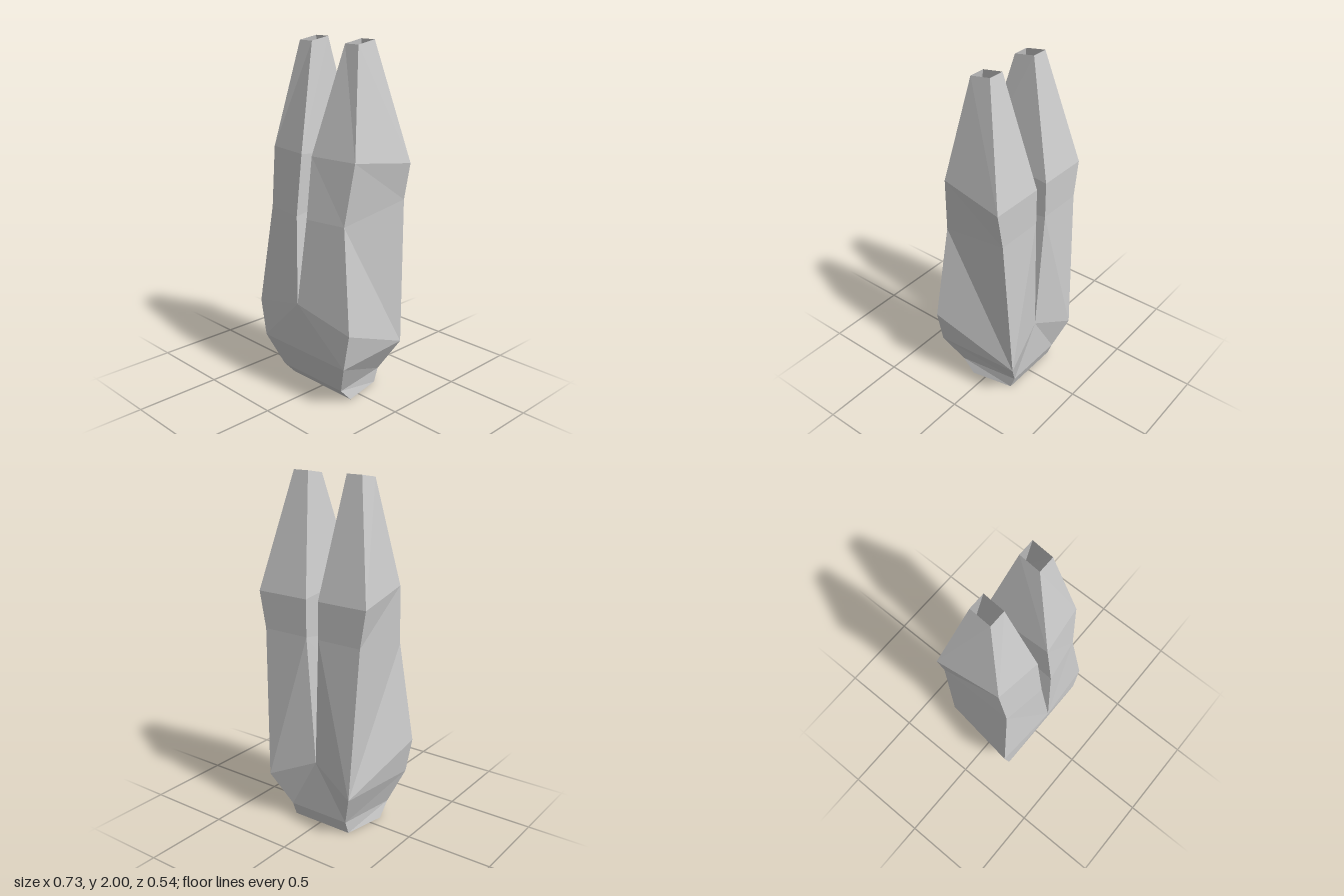
import * as THREE from 'three';

const material = new THREE.MeshStandardMaterial({
  color: 0xcccccc, flatShading: true, side: THREE.DoubleSide,
});

// Faceted mesh from a list of triangles, each with three [x, y, z] corners
function facets(name, tris) {
  const geometry = new THREE.BufferGeometry();
  geometry.setAttribute('position', new THREE.Float32BufferAttribute(tris.flat(2), 3));
  geometry.computeVertexNormals();
  const mesh = new THREE.Mesh(geometry, material);
  mesh.name = name;
  return mesh;
}

// Two triangles for a quad, split along a-c or b-d
const quad = (a, b, c, d, splitAC = false) =>
  splitAC ? [[a, b, c], [a, c, d]] : [[a, b, d], [b, c, d]];

// Points of the fork between the legs
const forkFront = [0, 0.57, 0.267];
const forkBack = [0, 0.4, -0.21];

// The two halves differ slightly in width
const sides = [
  { name: 'left', s: 1, top: [0.135, 0.23], kneeX: [0.325, 0.365], thighX: [0.285, 0.325],
    hipBackX: 0.29, footX: [0.23, 0.18] },
  { name: 'right', s: -1, top: [0.115, 0.21], kneeX: [0.305, 0.345], thighX: [0.29, 0.31],
    hipBackX: 0.27, footX: [0.25, 0.2] },
];

// Corner points of the hip block on one side
function hipPoints({ s, hipBackX, footX }) {
  return {
    f48: [s * 0.365, 0.48, 0.23],
    f27: [s * 0.325, 0.27, 0.23],
    b27: [s * hipBackX, 0.27, -0.27],
    f08: [s * footX[0], 0.08, 0.155],
    b08: [s * footX[1], 0.08, -0.2],
    f0: [s * footX[0], 0, 0.08],
    b0: [s * footX[1], 0, -0.17],
  };
}

// Reverse the corner order on the mirrored side
const oriented = (tris, s) => (s > 0 ? tris : tris.map(([a, b, c]) => [a, c, b]));

// Hollow tapering leg: rings run front inner, front outer, back outer, back inner
function leg(side) {
  const { s, top, kneeX, thighX } = side;
  const p = hipPoints(side);
  const rings = [
    [forkFront, p.f48, p.b27, forkBack],
    [[s * 0.04, 1.06, 0.23], [s * thighX[0], 1.06, 0.19],
      [s * thighX[1], 1.14, -0.23], [s * 0.04, 1.14, -0.23]],
    [[s * 0.04, 1.4, 0.19], [s * kneeX[0], 1.4, 0.153],
      [s * kneeX[1], 1.35, -0.23], [s * 0.04, 1.35, -0.23]],
    [[s * top[0], 1.98, 0.04], [s * top[1], 1.98, 0.04],
      [s * top[1], 2, -0.08], [s * top[0], 2, -0.08]],
  ];
  const tris = [];
  for (let r = 0; r < rings.length - 1; r++) {
    for (let i = 0; i < 4; i++) {
      const j = (i + 1) % 4;
      const splitAC = r === 0 && i % 2 === 0;
      tris.push(...quad(rings[r][i], rings[r][j], rings[r + 1][j], rings[r + 1][i], splitAC));
    }
  }
  return facets(side.name + 'Leg', oriented(tris, s));
}

// Tapered block joining both legs, closed underneath
function hips() {
  const tris = [];
  const [l, r] = sides.map(hipPoints);
  [l, r].forEach((p, i) => {
    tris.push(...oriented([
      [forkFront, p.f27, p.f48],
      [p.f48, p.f27, p.b27],
      [forkBack, p.b27, p.b08],
      ...quad(p.f27, p.f08, p.b08, p.b27, true),
      ...quad(p.f08, p.f0, p.b0, p.b08, true),
    ], sides[i].s));
  });
  tris.push(
    [forkFront, r.f27, l.f27],
    ...quad(r.f27, r.f08, l.f08, l.f27),
    ...quad(r.f08, r.f0, l.f0, l.f08),
    [forkBack, l.b08, r.b08],
    ...quad(l.b08, l.b0, r.b0, r.b08),
    ...quad(r.f0, r.b0, l.b0, l.f0),
  );
  return facets('hips', tris);
}

export function createModel() {
  const group = new THREE.Group();
  group.name = 'forkedBody';
  group.add(hips(), ...sides.map(leg));
  return group;
}
